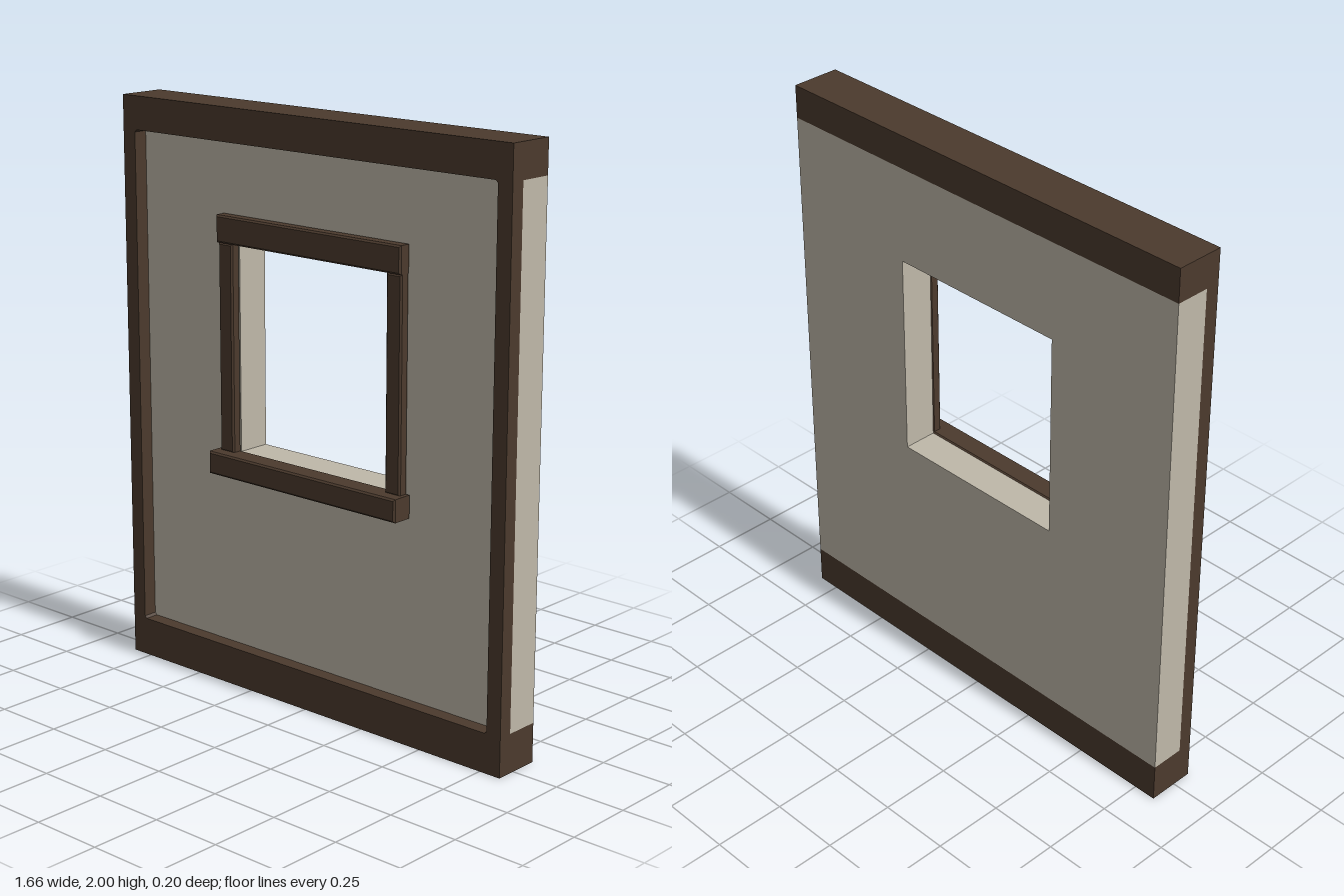
import * as THREE from 'three';

const W = 0.83, BACK = -0.1, WALL = 0.02, FRONT = 0.07; // half width and depth planes
const LOW = 0.135, HIGH = 1.885;                        // wall between the beams

const timber = new THREE.MeshStandardMaterial({ color: 0x4b3a2d });
timber.name = 'darkTimber';
const plaster = new THREE.MeshStandardMaterial({ color: 0xbfb8a9 });
plaster.name = 'plaster';

function polygon(points) {
  return new THREE.Shape(points.map(([x, y]) => new THREE.Vector2(x, y)));
}

function rectangle(x0, x1, y0, y1) {
  return polygon([[x0, y0], [x1, y0], [x1, y1], [x0, y1]]);
}

function addMesh(group, name, geometry, material) {
  const mesh = new THREE.Mesh(geometry, material);
  mesh.name = name;
  group.add(mesh);
  return mesh;
}

// Extrudes a shape between two depths, with an optional chamfer inside its outline
function slab(shape, z0, z1, chamfer = 0) {
  const geometry = new THREE.ExtrudeGeometry(shape, {
    depth: z1 - z0 - 2 * chamfer,
    bevelEnabled: chamfer > 0,
    bevelThickness: chamfer,
    bevelSize: chamfer,
    bevelOffset: -chamfer,
    bevelSegments: 1,
  });
  return geometry.translate(0, 0, z0 + chamfer);
}

export function createModel() {
  const model = new THREE.Group();
  model.name = 'wallWithWindow';

  // Plaster wall with the window opening
  const wall = rectangle(-W, W, LOW, HIGH);
  wall.holes.push(rectangle(-0.335, 0.335, 0.83, 1.55));
  addMesh(model, 'wall', slab(wall, BACK, WALL), plaster);

  // Full-depth beams
  addMesh(model, 'bottomBeam', slab(rectangle(-W, W, 0, LOW), BACK, FRONT), timber);
  addMesh(model, 'topBeam', slab(rectangle(-W, W, HIGH, 2), BACK, FRONT), timber);

  const trim = new THREE.Group();
  trim.name = 'windowTrim';
  model.add(trim);

  for (const [side, s] of [['left', 1], ['right', -1]]) {
    // Front post, slightly flared where it meets the beams
    const inner = 0.775, flare = 0.008;
    const post = polygon([
      [s * W, LOW], [s * W, HIGH],
      [s * (inner - flare), HIGH], [s * inner, HIGH - flare],
      [s * inner, LOW + flare], [s * (inner - flare), LOW],
    ]);
    addMesh(model, side + 'Post', slab(post, WALL, FRONT), timber);

    // Window jamb
    const x0 = Math.min(s * 0.335, s * 0.398), x1 = Math.max(s * 0.335, s * 0.398);
    addMesh(trim, side + 'Jamb', slab(rectangle(x0, x1, 0.83, 1.547), WALL, 0.058, 0.006), timber);
  }

  // Lintel and projecting sill
  addMesh(trim, 'lintel', slab(rectangle(-0.4, 0.4, 1.547, 1.64), WALL, 0.067, 0.006), timber);
  addMesh(trim, 'sill', slab(rectangle(-0.413, 0.413, 0.755, 0.833), WALL, 0.1, 0.006), timber);

  return model;
}
